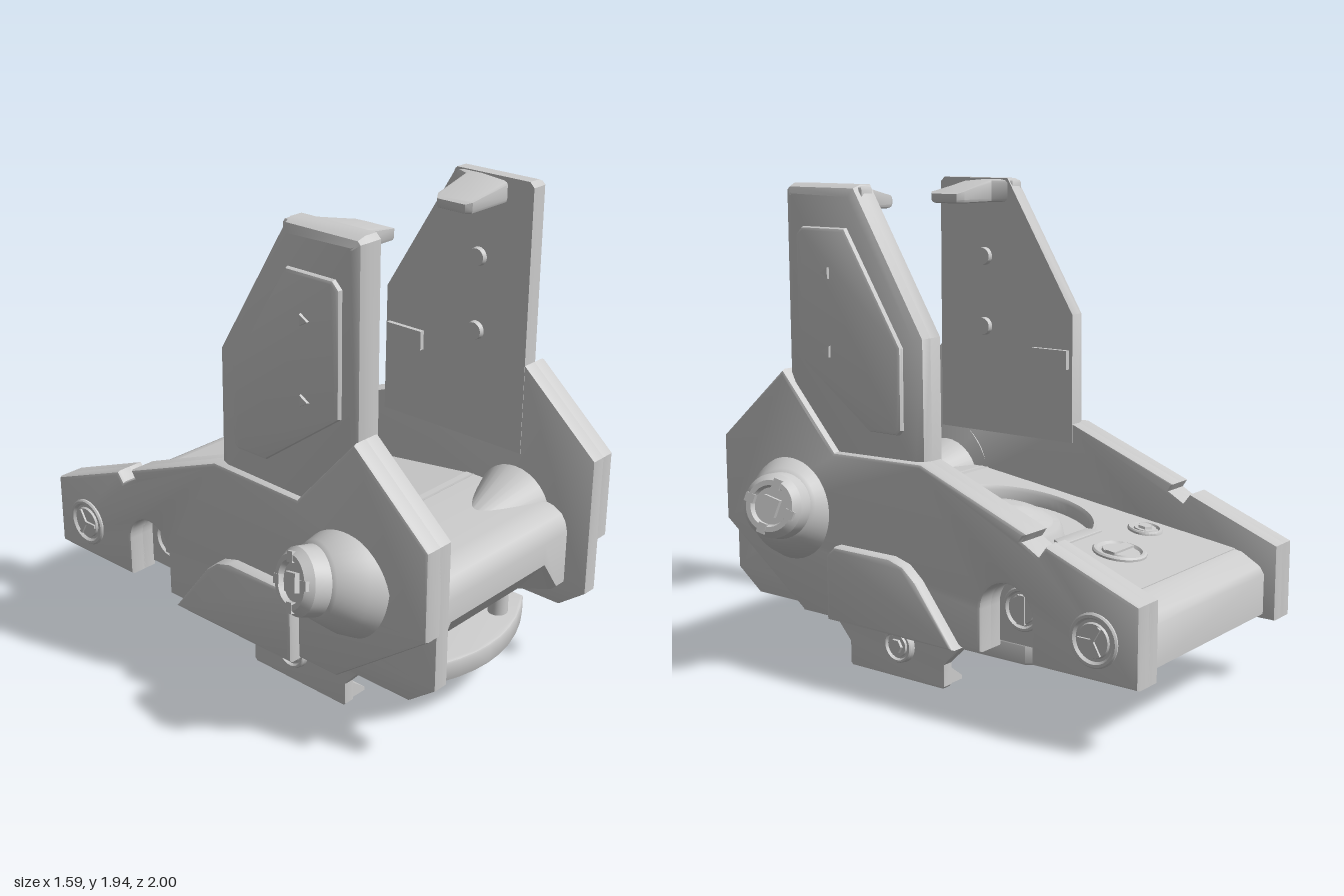
import * as THREE from 'three';
import { mergeGeometries, toCreasedNormals } from 'three/addons/utils/BufferGeometryUtils.js';

const V = (x, y, z) => new THREE.Vector3(x, y, z);
const pts = (list) => list.map(([a, b]) => new THREE.Vector2(a, b));

// Extrudes a flat outline to a depth, with edges bevelled inside the outline
function slab(shape, depth, bevel) {
  return new THREE.ExtrudeGeometry(shape, {
    depth: depth - 2 * bevel, curveSegments: 32, bevelEnabled: bevel > 0,
    bevelSize: bevel, bevelThickness: bevel, bevelOffset: -bevel, bevelSegments: 2,
  }).translate(0, 0, bevel);
}
// Outline given as [z, y], running from x0 to x1
function sidePlate(outline, x0, x1, bevel = 0.015) {
  const shape = new THREE.Shape(pts(outline.map(([z, y]) => [-z, y])));
  return slab(shape, x1 - x0, bevel).rotateY(Math.PI / 2).translate(x0, 0, 0);
}
// Outline given as [x, z], running from y0 to y1
function planPlate(outline, y0, y1, bevel = 0.01, hole) {
  const shape = new THREE.Shape(pts(outline.map(([x, z]) => [x, -z])));
  if (hole) shape.holes.push(hole);
  return slab(shape, y1 - y0, bevel).rotateX(-Math.PI / 2).translate(0, y0, 0);
}
// Moves every vertex by a rule
function warp(geo, rule) {
  const p = geo.attributes.position, v = V(0, 0, 0);
  for (let i = 0; i < p.count; i++) {
    rule(v.fromBufferAttribute(p, i));
    p.setXYZ(i, v.x, v.y, v.z);
  }
  return geo;
}
// Turns a part built along +y to point along dir from a position
function aim(geo, pos, dir) {
  return geo.applyQuaternion(new THREE.Quaternion().setFromUnitVectors(V(0, 1, 0), dir.clone().normalize()))
    .translate(pos.x, pos.y, pos.z);
}
const box = (w, h, d, x, y, z) => new THREE.BoxGeometry(w, h, d).translate(x, y, z);
const lathe = (profile, n = 40) => new THREE.LatheGeometry(pts(profile), n);

// Screw head facing +y with a hex, slot or three-spoke drive
function screw(r, drive) {
  const parts = [lathe([[r, -0.01], [r, 0.008], [0.94 * r, 0.014], [0.84 * r, 0.014], [0.76 * r, 0.003],
    [0.66 * r, 0.003], [0.62 * r, 0.012], [0, 0.012]], 32)];
  if (drive === 'hex') parts.push(new THREE.CylinderGeometry(0.4 * r, 0.45 * r, 0.012, 6).translate(0, 0.016, 0));
  if (drive === 'slot') parts.push(box(1.3 * r, 0.012, 0.4 * r, 0, 0.014, 0));
  if (drive === 'tri') {
    for (let i = 0; i < 3; i++) {
      parts.push(box(0.14 * r, 0.014, 0.6 * r, 0, 0.014, 0.3 * r).rotateY((i * 2 * Math.PI) / 3));
    }
  }
  return mergeGeometries(parts);
}

export function createModel() {
  const model = new THREE.Group();
  const material = new THREE.MeshStandardMaterial({ color: 0xcccccc });

  function add(name, geo) {
    const flat = geo.index ? geo.toNonIndexed() : geo;
    const mesh = new THREE.Mesh(toCreasedNormals(flat, 0.6), material);
    mesh.name = name;
    model.add(mesh);
  }
  // Adds a +x part and its mirror image, with the winding turned round
  function addPair(name, geo) {
    const flat = geo.index ? geo.toNonIndexed() : geo;
    const other = flat.clone().scale(-1, 1, 1);
    for (const attr of Object.values(other.attributes)) {
      const n = attr.itemSize, a = attr.array;
      for (let i = 0; i < attr.count; i += 3) {
        for (let k = 0; k < n; k++) {
          const p = (i + 1) * n + k, q = (i + 2) * n + k;
          [a[p], a[q]] = [a[q], a[p]];
        }
      }
    }
    add(name + 'Left', flat);
    add(name + 'Right', other);
  }

  // Lower side plates: inner layer and a thicker outer layer, cut by an arch
  const arch = Array.from({ length: 17 }, (_, i) => {
    const a = Math.PI * (1 - i / 16);
    return [-0.435 + 0.115 * Math.cos(a), 0.425 + 0.115 * Math.sin(a)];
  });
  const lower = [[1, 0.92], [0.66, 1.22], [0.48, 1.02], [0.39, 0.92], [-0.04, 0.93], [-0.53, 0.74], [-0.51, 0.71],
    [-0.58, 0.67], [-0.61, 0.71], [-1, 0.56], [-1, 0.26], [-0.55, 0.26], ...arch, [-0.32, 0.26]];
  addPair('innerSidePlate', sidePlate([...lower, [0.88, 0.26], [1, 0.35]], 0.432, 0.5, 0.006));
  addPair('outerSidePlate', sidePlate([...lower, [0.58, 0.26], [1, 0.57]], 0.47, 0.56, 0.015));

  // Upright plates: flat inside, deep chamfer outside
  const upright = sidePlate([[0.66, 0.85], [0.66, 1.92], [0.64, 1.94], [0.3, 1.94], [-0.035, 1.39], [-0.04, 0.85]],
    0.33, 0.53, 0.045);
  addPair('uprightPlate', warp(upright, (v) => { v.x = Math.max(v.x, 0.43); }));
  addPair('uprightPanel', sidePlate([[0.58, 1.75], [0.55, 1.78], [0.33, 1.78], [0.06, 1.35], [0.06, 1.04],
    [0.08, 1.02], [0.22, 1.02], [0.58, 1.28]], 0.5, 0.55));
  for (const y of [1.61, 1.31]) {
    const tri = new THREE.CylinderGeometry(0.024, 0.03, 0.02, 3);
    addPair('panelScrew', aim(tri, V(0.55, y, 0.42), V(1, 0, 0)));
    addPair('innerStud', aim(new THREE.CylinderGeometry(0.035, 0.04, 0.03, 20), V(0.425, y, 0.42), V(-1, 0, 0)));
  }
  addPair('innerStop', box(0.04, 0.08, 0.18, 0.43, 1.2, 0.07));

  // Hooks at the top of the uprights
  const hook = planPlate([[0.5, 0.28], [0.44, 0.28], [0.4, 0.36], [0.23, 0.37], [0.2, 0.39], [0.2, 0.52],
    [0.22, 0.54], [0.5, 0.54]], 1.84, 1.935, 0.015);
  addPair('topHook', warp(hook, (v) => {
    if (v.y > 1.88) v.y = Math.min(v.y, 1.935 - Math.max(0, 0.36 - v.x) * 0.35);
  }));

  // Side covers, tilted knobs and side screws
  addPair('sideCover', sidePlate([[0.4, 0.26], [0.4, 0.52], [0.36, 0.56], [0.08, 0.56], [0.01, 0.54], [-0.05, 0.49],
    [-0.23, 0.26]], 0.53, 0.61));
  const knob = [lathe([[0.22, -0.05], [0.2, 0.02], [0.145, 0.12], [0.13, 0.13], [0.125, 0.195], [0.1, 0.225],
    [0.08, 0.225], [0.072, 0.205], [0, 0.205]]), box(0.07, 0.03, 0.07, 0, 0.21, 0)];
  for (let i = 0; i < 4; i++) knob.push(box(0.035, 0.02, 0.04, 0, 0.217, 0.09).rotateY((i * Math.PI) / 2));
  addPair('adjustmentKnob', aim(mergeGeometries(knob), V(0.55, 0.68, 0.61), V(0.93, 0.2, -0.28)));
  addPair('rearSideScrew', aim(screw(0.1, 'tri'), V(0.558, 0.41, -0.82), V(1, 0, 0)));
  addPair('archScrew', aim(screw(0.085, 'slot').rotateY(Math.PI), V(0.442, 0.42, -0.43), V(1, 0, 0))
    .translate(0, 0, 0));

  // Front beam lofted across x, with a sloped recess under its face
  const stations = [[-0.44, 0], [-0.38, 0], [-0.29, 1], [0.29, 1], [0.38, 0], [0.44, 0]];
  const pos = [], index = [], rows = 9;
  stations.forEach(([x, t], j) => {
    [[0.4, 0.69], [0.78, 0.69], [0.83, 0.682], [0.87, 0.66], [0.89, 0.63], [0.9, 0.59], [0.9, 0.37 + 0.13 * t],
      [0.88 - 0.1 * t, 0.35], [0.4, 0.35]].forEach(([z, y], i) => {
      pos.push(x, y, z);
      if (j < stations.length - 1 && i < rows - 1) {
        const a = j * rows + i, b = a + rows;
        index.push(a, a + 1, b + 1, a, b + 1, b);
      }
    });
  });
  const beam = new THREE.BufferGeometry();
  beam.setAttribute('position', new THREE.Float32BufferAttribute(pos, 3));
  beam.setIndex(index);
  add('frontBeam', beam);
  const fairing = new THREE.CylinderGeometry(0.05, 0.18, 0.32, 32);
  addPair('beamFairing', aim(fairing, V(0.29, 0.618, 0.64), V(-1, 0, 0)));

  // Body block and sloped deck with a round well
  const deckY = (z) => 0.633 + 0.133 * z;
  const onDeck = (geo) => warp(geo, (v) => { v.y += deckY(v.z); });
  add('bodyBlock', sidePlate([[0.5, 0.28], [0.5, 0.6], [-0.8, deckY(-0.8) - 0.09], [-0.8, 0.524], [-0.85, 0.515],
    [-0.93, 0.47], [-0.95, 0.44], [-0.95, 0.28]], -0.44, 0.44, 0));
  const well = new THREE.Path().absarc(0, 0.02, 0.35, 0, Math.PI * 2, true);
  add('deck', onDeck(planPlate([[-0.44, -0.82], [0.44, -0.82], [0.44, 0.44], [-0.44, 0.44]], -0.1, 0, 0, well)));
  add('wellRim', onDeck(lathe([[0.365, -0.01], [0.36, 0.004], [0.35, 0.004], [0.34, -0.012], [0.34, -0.06]], 64)
    .translate(0, 0, -0.02)));
  add('wellDome', onDeck(lathe([[0.24, -0.1], [0.225, -0.03], [0.215, -0.015], [0.19, -0.012], [0.185, -0.005],
    [0.15, 0.012], [0.11, 0.022], [0.105, 0.027], [0.07, 0.032], [0.065, 0.036], [0, 0.038]], 48)
    .translate(0, 0, -0.02)));
  add('wellTab', onDeck(planPlate([[-0.14, -0.385], [0.14, -0.385], [0.11, -0.33], [-0.11, -0.33]], -0.08, 0.008, 0.004)));
  add('wellBracket', onDeck(box(0.13, 0.08, 0.13, 0, -0.03, 0.275)));
  add('wellCrossbar', onDeck(box(0.44, 0.06, 0.04, 0, -0.06, 0.28)));
  add('deckSlotScrew', onDeck(screw(0.105, 'slot').translate(0, 0, -0.56)));
  addPair('deckHexScrew', onDeck(screw(0.07, 'hex').translate(0.31, 0, -0.48)));

  // Base mount: slab with a curved front, posts and a clamp on each side
  const front = Array.from({ length: 11 }, (_, i) => {
    const x = 0.39 - 0.078 * i;
    return [x, 0.87 - 0.13 * (x / 0.39) ** 2];
  });
  add('mountSlab', planPlate([[-0.39, -0.4], [-0.27, -0.56], [0.27, -0.56], [0.39, -0.4], ...front], 0.18, 0.265));
  add('mountSpacer', box(0.5, 0.06, 0.7, 0, 0.27, 0));
  addPair('mountPost', new THREE.CylinderGeometry(0.04, 0.04, 0.16, 20).translate(0.22, 0.29, 0.74));
  addPair('clampJaw', sidePlate([[0.56, 0.19], [0.48, 0.1], [0.48, 0.01], [0.47, 0], [0, 0], [-0.01, 0.01],
    [-0.01, 0.1], [-0.1, 0.19]], 0.34, 0.39, 0.006));
  const lip = new THREE.Shape(pts([[0.26, 0.005], [0.36, 0.005], [0.36, 0.08], [0.34, 0.08], [0.26, 0.02]]));
  addPair('clampLip', slab(lip, 0.46, 0).translate(0, 0, 0.005));
  addPair('clampScrew', aim(mergeGeometries([new THREE.CylinderGeometry(0.07, 0.075, 0.03, 32),
    screw(0.07, 'hex').translate(0, 0.012, 0)]), V(0.39, 0.14, 0.21), V(1, 0, 0)));

  return model;
}
